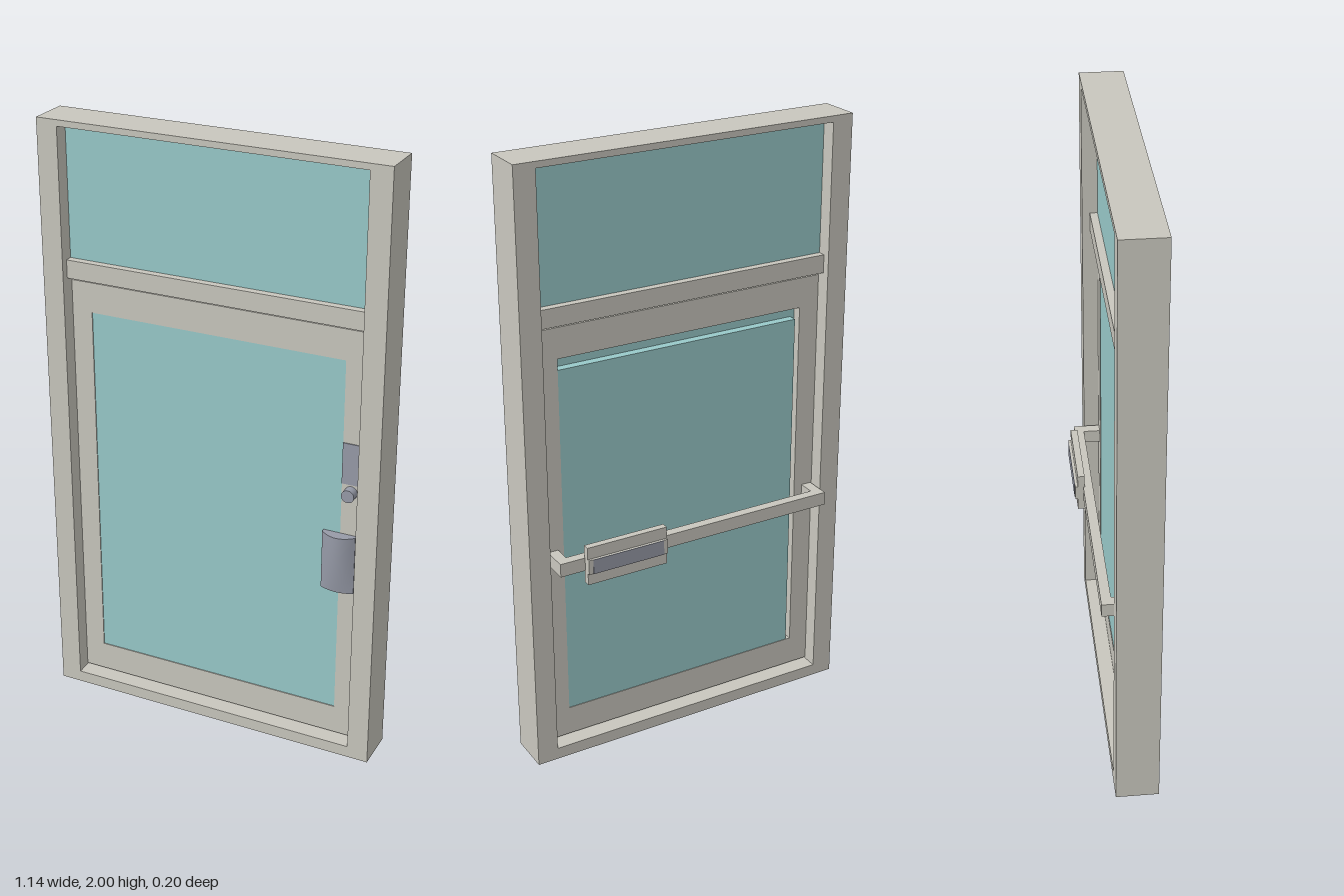
import * as THREE from 'three';

const mat = (name, color) => {
  const m = new THREE.MeshStandardMaterial({ color });
  m.name = name;
  return m;
};

export function createModel() {
  const group = new THREE.Group();
  const paint = mat('warm grey paint', 0xc9c7be);
  const glass = mat('teal glass', 0x99caca);
  const metal = mat('blue grey metal', 0x979ba8);

  const add = (name, geometry, material) => {
    const mesh = new THREE.Mesh(geometry, material);
    mesh.name = name;
    group.add(mesh);
    return mesh;
  };

  // Box given by its limits on each axis
  const box = (name, material, [x0, x1], [y0, y1], [z0, z1]) => {
    const g = new THREE.BoxGeometry(x1 - x0, y1 - y0, z1 - z0);
    g.translate((x0 + x1) / 2, (y0 + y1) / 2, (z0 + z1) / 2);
    return add(name, g, material);
  };

  const rect = (Type, [x0, x1], [y0, y1]) => new Type([
    new THREE.Vector2(x0, y0), new THREE.Vector2(x1, y0),
    new THREE.Vector2(x1, y1), new THREE.Vector2(x0, y1),
  ]);

  // Rectangular ring with a rectangular opening
  const ring = (name, outerX, outerY, innerX, innerY, [z0, z1]) => {
    const shape = rect(THREE.Shape, outerX, outerY);
    shape.holes.push(rect(THREE.Path, innerX, innerY));
    const g = new THREE.ExtrudeGeometry(shape, { depth: z1 - z0, bevelEnabled: false });
    g.translate(0, 0, z0);
    add(name, g, paint);
  };

  // Fixed frame, crossbar and upper window
  ring('outerFrame', [-0.57, 0.57], [0, 2], [-0.5, 0.5], [0.04, 1.98], [-0.04, 0.1]);
  box('transomBar', paint, [-0.5, 0.5], [1.49, 1.55], [-0.015, 0.075]);
  box('transomGlass', glass, [-0.5, 0.5], [1.55, 1.98], [0.01, 0.05]);

  // Door leaf with its front and back panes
  ring('doorLeaf', [-0.499, 0.493], [0.046, 1.477], [-0.43, 0.43], [0.145, 1.377], [0.01, 0.05]);
  box('doorGlassFront', glass, [-0.43, 0.43], [0.145, 1.377], [0.04, 0.047]);
  box('doorGlassBack', glass, [-0.415, 0.43], [0.145, 1.34], [0.012, 0.04]);

  // Push bar across the back, held by two brackets
  box('pushBar', paint, [-0.495, 0.485], [0.693, 0.738], [-0.077, -0.045]);
  for (const [x0, x1] of [[-0.495, -0.46], [0.45, 0.485]]) {
    box('pushBarBracket', paint, [x0, x1], [0.693, 0.738], [-0.045, 0.01]);
  }

  // Push paddle with a raised metal strip
  box('pushPaddle', paint, [0.12, 0.4], [0.65, 0.78], [-0.095, -0.072]);
  box('paddleRib', paint, [0.12, 0.4], [0.69, 0.74], [-0.103, -0.095]);
  box('paddleStrip', metal, [0.135, 0.385], [0.69, 0.74], [-0.105, -0.103]);

  // Lock plate and key cylinder on the front
  box('lockPlate', metal, [0.43, 0.493], [0.97, 1.108], [0.05, 0.053]);
  const lock = new THREE.CylinderGeometry(0.021, 0.021, 0.03, 24);
  lock.rotateX(Math.PI / 2).translate(0.461, 0.943, 0.065);
  add('keyCylinder', lock, metal);

  // Pull handle: a slab whose front arches across and falls away downward
  const w = 0.11, h = 0.2;
  const pull = new THREE.BoxGeometry(w, h, 0.012, 12, 12, 1);
  const p = pull.attributes.position;
  for (let i = 0; i < p.count; i++) {
    if (p.getZ(i) < 0) continue;
    const u = p.getX(i) / (w / 2);
    const v = p.getY(i) / h + 0.5;
    p.setZ(i, 0.006 + 0.026 * (1 - u * u) * (1 - 0.5 * (1 - v) ** 2));
  }
  pull.computeVertexNormals();
  pull.translate(0.43, 0.695, 0.056);
  add('pullHandle', pull, metal);

  return group;
}
